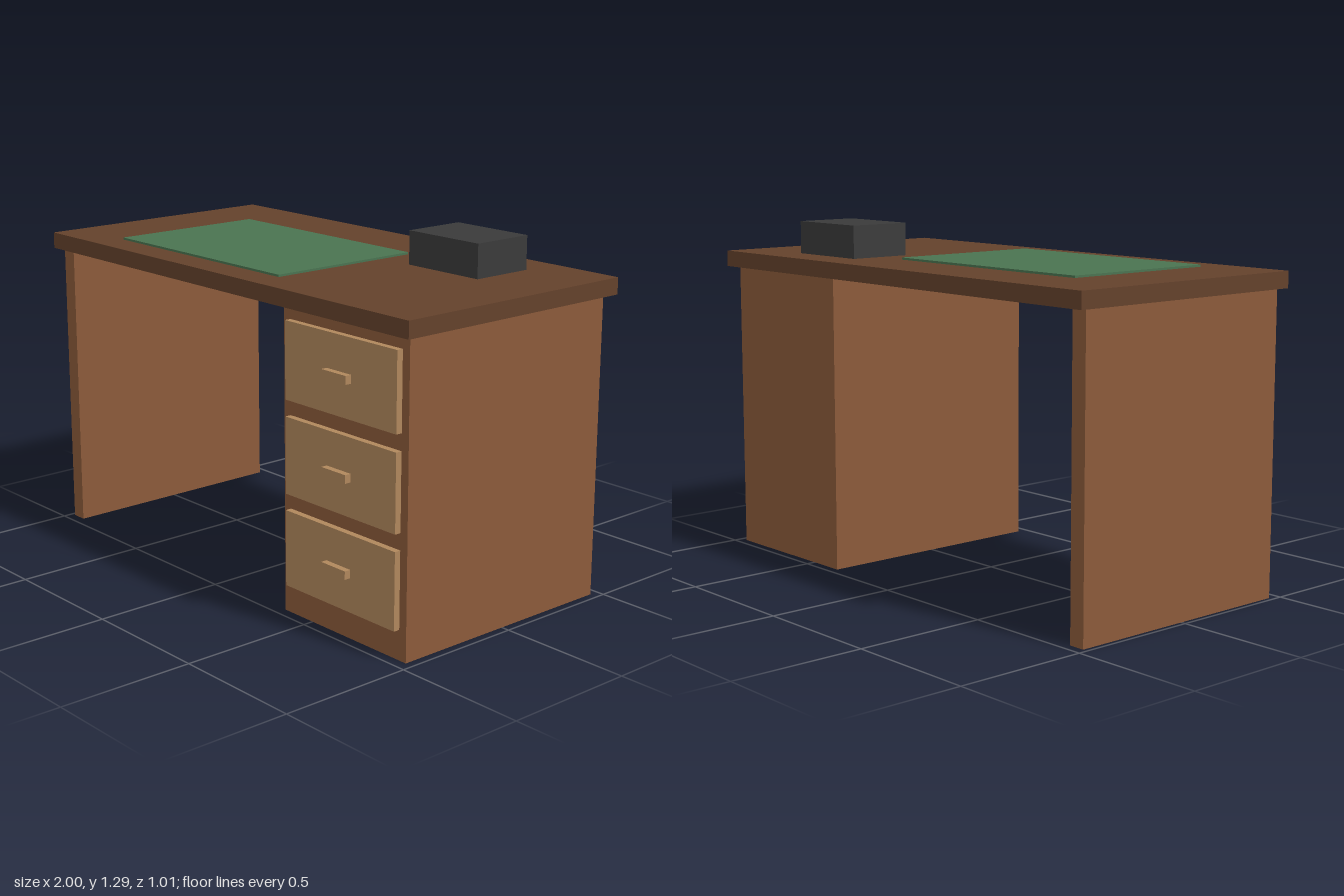
import * as THREE from 'three';

const material = (name, color) => {
  const m = new THREE.MeshStandardMaterial({ color });
  m.name = name;
  return m;
};

export function createModel() {
  const desk = new THREE.Group();
  desk.name = 'desk';

  const darkWood = material('dark wood', 0x63412b);
  const wood = material('brown wood', 0x8b5a3a);
  const lightWood = material('light wood', 0xb0875c);
  const green = material('green', 0x4a7350);
  const charcoal = material('charcoal', 0x3a3a3a);

  // Box given by its extents along each axis
  const box = (name, mat, [x0, x1], [y0, y1], [z0, z1], parent = desk) => {
    const mesh = new THREE.Mesh(new THREE.BoxGeometry(x1 - x0, y1 - y0, z1 - z0), mat);
    mesh.position.set((x0 + x1) / 2, (y0 + y1) / 2, (z0 + z1) / 2);
    mesh.name = name;
    parent.add(mesh);
  };

  // Worktop and its supports
  const depth = [-0.465, 0.46];
  box('worktop', darkWood, [-1, 1], [1.11, 1.171], [-0.503, 0.497]);
  box('sidePanel', wood, [-0.982, -0.921], [0, 1.11], depth);
  box('pedestal', wood, [0.354, 0.969], [0, 1.11], depth);

  // Three drawers with bar handles
  for (let i = 0; i < 3; i++) {
    const y = 0.248 + i * 0.338;
    const drawer = new THREE.Group();
    drawer.name = `drawer${i + 1}`;
    box('drawerFront', lightWood, [0.387, 0.936], [y - 0.139, y + 0.139], [0.46, 0.484], drawer);
    box('handle', lightWood, [0.6, 0.72], [y - 0.015, y + 0.015], [0.484, 0.508], drawer);
    desk.add(drawer);
  }

  // Items on the worktop
  box('deskMat', green, [-0.697, 0.229], [1.171, 1.179], [-0.24, 0.379]);
  box('deskBox', charcoal, [0.368, 0.706], [1.171, 1.295], [-0.357, -0.111]);

  return desk;
}
